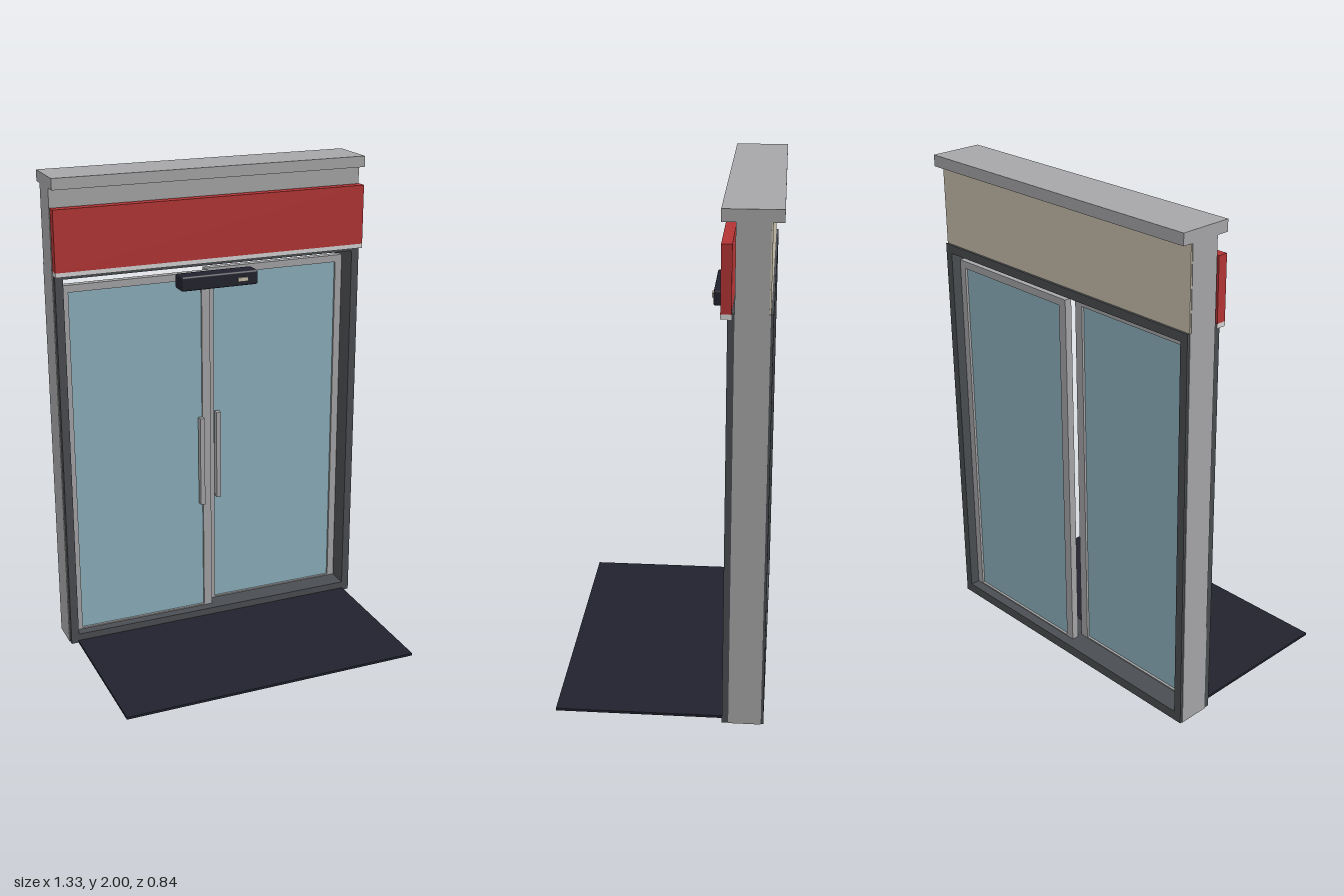
import * as THREE from 'three';
import { RoundedBoxGeometry } from 'three/addons/geometries/RoundedBoxGeometry.js';

const material = (name, color) => {
  const m = new THREE.MeshStandardMaterial({ color });
  m.name = name;
  return m;
};

// Box given by its extents on each axis
function box(parent, name, mat, [x0, x1], [y0, y1], [z0, z1], radius = 0) {
  const size = [x1 - x0, y1 - y0, z1 - z0];
  const geometry = radius
    ? new RoundedBoxGeometry(...size, 2, radius)
    : new THREE.BoxGeometry(...size);
  const mesh = new THREE.Mesh(geometry, mat);
  mesh.name = name;
  mesh.position.set((x0 + x1) / 2, (y0 + y1) / 2, (z0 + z1) / 2);
  parent.add(mesh);
  return mesh;
}

// Rectangular ring with a rectangular hole, extruded from z0 to z1
function ring(parent, name, mat, outer, inner, [z0, z1]) {
  const corners = ([x0, x1, y0, y1]) => [[x0, y0], [x1, y0], [x1, y1], [x0, y1]]
    .map(([x, y]) => new THREE.Vector2(x, y));
  const shape = new THREE.Shape(corners(outer));
  shape.holes.push(new THREE.Path(corners(inner).reverse()));
  const geometry = new THREE.ExtrudeGeometry(shape, { depth: z1 - z0, bevelEnabled: false });
  const mesh = new THREE.Mesh(geometry, mat);
  mesh.name = name;
  mesh.position.z = z0;
  parent.add(mesh);
  return mesh;
}

export function createModel() {
  const aluminium = material('aluminium grey', 0xa6a6a8);
  const frameDark = material('frame dark grey', 0x4a4d51);
  const glass = material('glass blue', 0x8db1bd);
  const red = material('sign red', 0xb33434);
  const trim = material('trim light grey', 0xd4d4d4);
  const beige = material('panel beige', 0xc8bfab);
  const black = material('mat black', 0x22222e);

  const model = new THREE.Group();
  model.name = 'slidingDoorEntrance';

  // Floor mat in front of the doorway
  box(model, 'floorMat', black, [-0.633, 0.633], [0, 0.01], [-0.23, 0.42]);

  // Deep portal frame: threshold, jambs and header
  ring(model, 'portalFrame', frameDark,
    [-0.663, 0.663, 0, 1.635], [-0.63, 0.63, 0.04, 1.6], [-0.39, -0.23]);

  // Grey cladding on the outer sides
  for (const side of [-1, 1]) {
    const xs = side < 0 ? [-0.666, -0.662] : [0.662, 0.666];
    box(model, 'sideCladding', aluminium, xs, [0, 1.636], [-0.38, -0.255]);
  }

  // Upper wall, rear panel and roof cap
  box(model, 'upperWall', aluminium, [-0.666, 0.666], [1.635, 1.956], [-0.375, -0.255]);
  box(model, 'rearPanel', beige, [-0.664, 0.664], [1.635, 1.955], [-0.381, -0.374]);
  box(model, 'roofCap', aluminium, [-0.666, 0.666], [1.955, 2], [-0.42, -0.205]);

  // Sign board with a light lower trim
  box(model, 'signBoard', red, [-0.666, 0.666], [1.633, 1.88], [-0.245, -0.206]);
  box(model, 'signTrim', trim, [-0.666, 0.666], [1.615, 1.633], [-0.245, -0.206]);

  // Two sliding leaves on separate tracks
  for (const side of [-1, 1]) {
    const front = side < 0 ? -0.27 : -0.32;
    const span = (a, b) => (side < 0 ? [-b, -a] : [a, b]);
    const leaf = new THREE.Group();
    leaf.name = side < 0 ? 'rightDoorLeaf' : 'leftDoorLeaf';
    model.add(leaf);
    ring(leaf, 'leafFrame', aluminium,
      [...span(0, 0.63), 0.015, 1.565], [...span(0.036, 0.6), 0.045, 1.535],
      [front - 0.03, front]);
    box(leaf, 'glassPane', glass, span(0.034, 0.602), [0.043, 1.537], [front - 0.02, front - 0.01]);
    // Vertical pull handle
    box(leaf, 'pullHandle', aluminium, span(0.037, 0.057), [0.54, 0.935], [front, front + 0.025]);
  }

  // Motion sensor above the doors
  box(model, 'sensorHousing', black, [-0.166, 0.166], [1.52, 1.58], [-0.23, -0.155], 0.008);
  box(model, 'sensorWindow', beige, [0.077, 0.119], [1.54, 1.556], [-0.156, -0.147]);

  return model;
}
